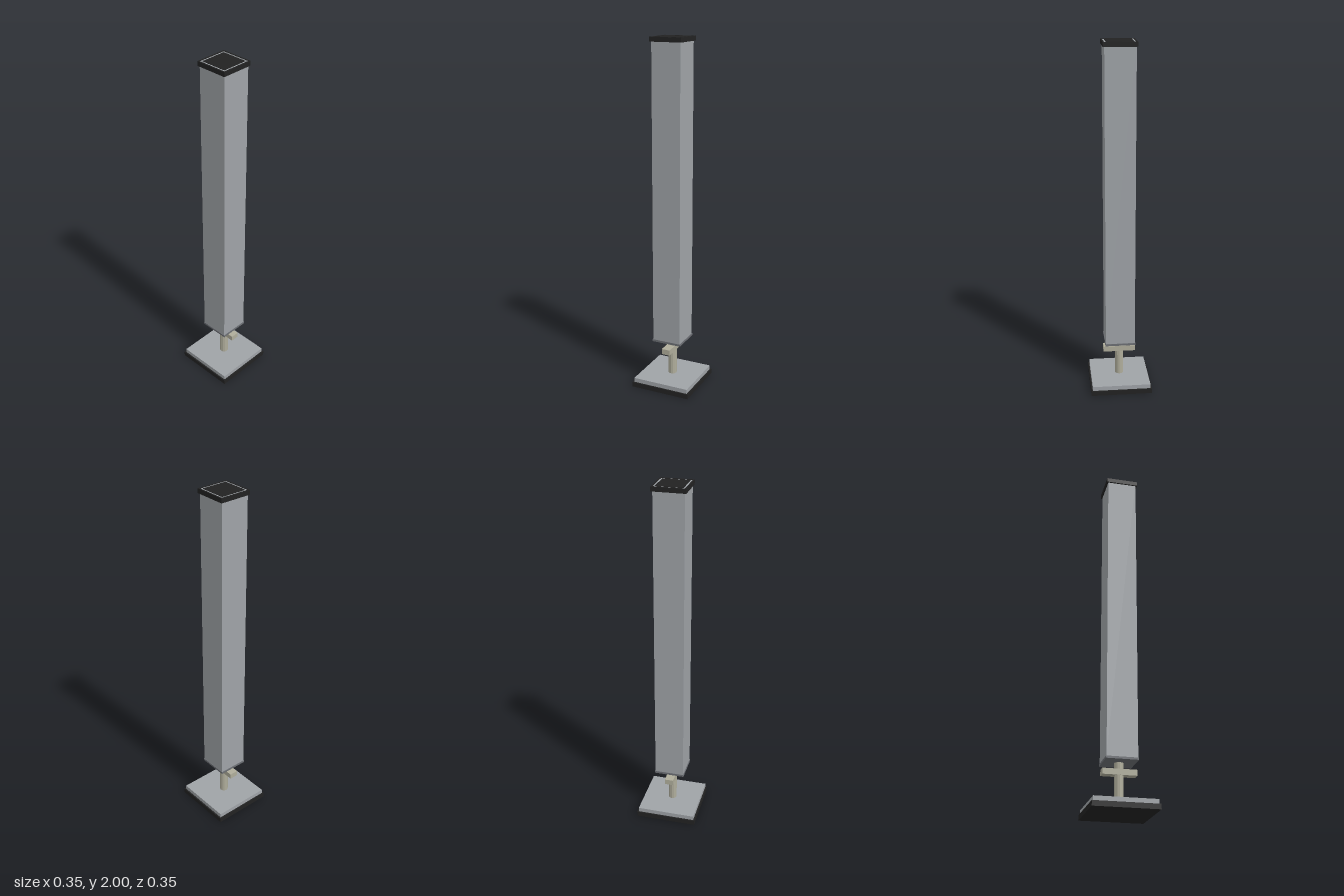
import * as THREE from 'three';

const mat = (name, color) => {
  const m = new THREE.MeshStandardMaterial({ color });
  m.name = name;
  return m;
};

export function createModel() {
  const steel = mat('steel grey', 0x9fa3a7);
  const plate = mat('dark grey', 0x6c6f74);
  const rubber = mat('black rubber', 0x222222);
  const brass = mat('dull brass', 0xafad9b);

  const model = new THREE.Group();
  model.name = 'adjustablePost';

  const add = (name, geometry, material, y = 0) => {
    const mesh = new THREE.Mesh(geometry, material);
    mesh.name = name;
    mesh.position.y = y;
    model.add(mesh);
  };
  // Box spanning y0 to y1, centred on the post axis
  const block = (name, w, d, y0, y1, material) =>
    add(name, new THREE.BoxGeometry(w, y1 - y0, d), material, (y0 + y1) / 2);

  // Foot: rubber pad under a steel plate
  block('footPad', 0.352, 0.352, 0, 0.028, rubber);
  block('footPlate', 0.336, 0.336, 0.028, 0.053, steel);

  // Threaded rod with its adjusting bar
  const rod = new THREE.CylinderGeometry(0.025, 0.025, 0.22, 12).toNonIndexed();
  rod.computeVertexNormals();
  add('adjustingRod', rod, brass, 0.163);
  block('adjustingBar', 0.186, 0.05, 0.203, 0.235, brass);

  // Square post closed by an end plate
  block('endPlate', 0.174, 0.174, 0.27, 0.282, plate);
  block('post', 0.168, 0.168, 0.282, 1.998, steel);

  // Top: rubber collar around the post rim, with an inset pad
  const square = (Type, h) => new Type([[-h, -h], [h, -h], [h, h], [-h, h]]
    .map(([x, y]) => new THREE.Vector2(x, y)));
  const collarShape = square(THREE.Shape, 0.092);
  collarShape.holes.push(square(THREE.Path, 0.084));
  const collar = new THREE.ExtrudeGeometry(collarShape, { depth: 0.025, bevelEnabled: false });
  collar.rotateX(-Math.PI / 2);
  add('topCollar', collar, rubber, 1.975);
  block('topPad', 0.148, 0.148, 1.99, 2, rubber);

  return model;
}
